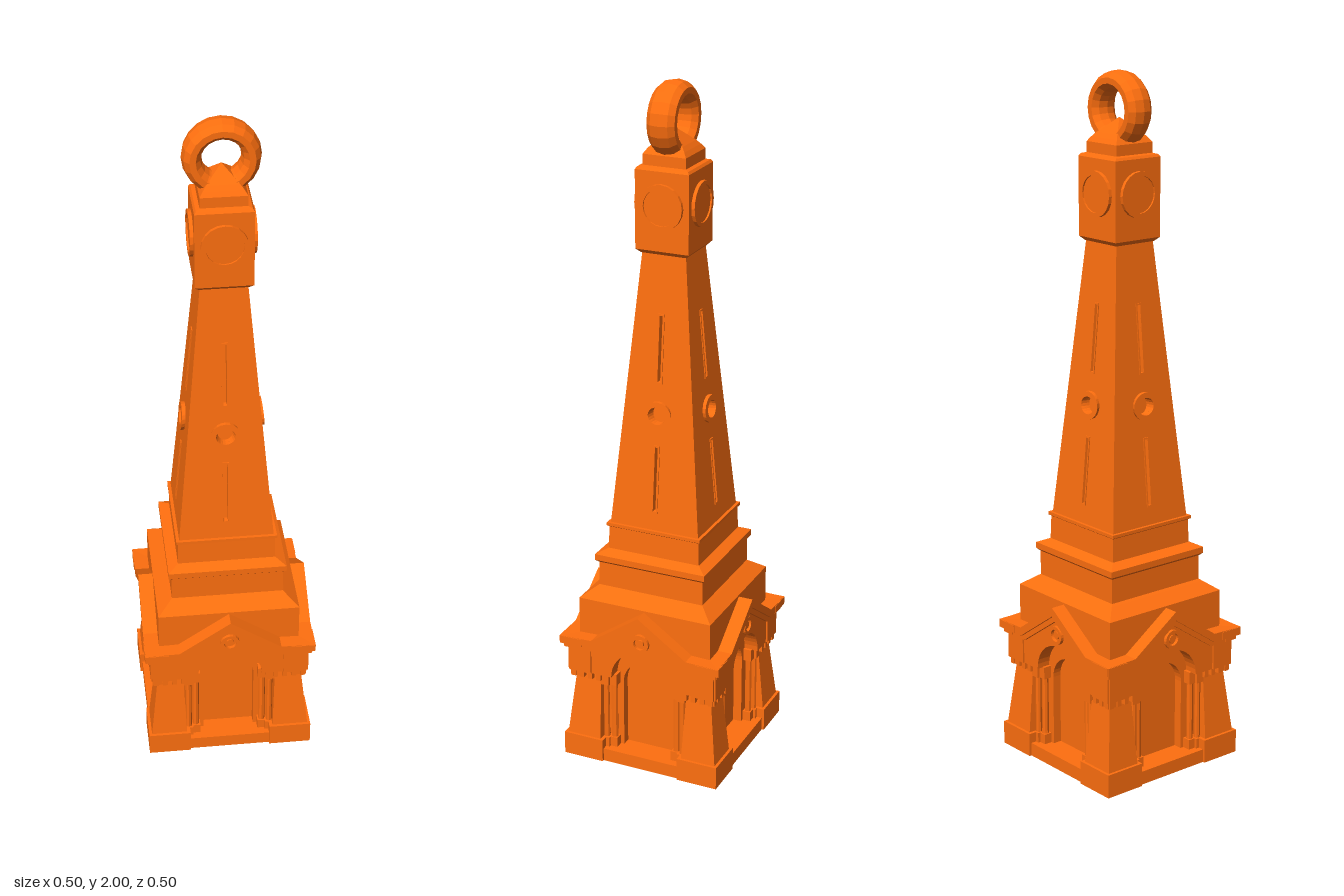
import * as THREE from 'three';

const material = new THREE.MeshStandardMaterial({ color: 0xff6f0f, flatShading: true });

function mesh(name, geometry) {
  const g = geometry.index ? geometry.toNonIndexed() : geometry;
  g.computeVertexNormals();
  const m = new THREE.Mesh(g, material);
  m.name = name;
  return m;
}

// Square tower section from [halfWidth, y] pairs, bottom to top
function squareTier(name, profile) {
  const pts = profile.map(([r, y]) => new THREE.Vector2(r * Math.SQRT2, y));
  return mesh(name, new THREE.LatheGeometry(pts, 4, Math.PI / 4));
}

function box(name, x0, x1, y0, y1, z0, z1) {
  const g = new THREE.BoxGeometry(x1 - x0, y1 - y0, z1 - z0);
  return mesh(name, g.translate((x0 + x1) / 2, (y0 + y1) / 2, (z0 + z1) / 2));
}

const polygon = (pts) => new THREE.Shape(pts.map(([x, y]) => new THREE.Vector2(x, y)));

function extrude(shape, z0, z1) {
  return new THREE.ExtrudeGeometry(shape, { depth: z1 - z0, bevelEnabled: false, curveSegments: 10 }).translate(0, 0, z0);
}

function rect(halfW, y0, y1) {
  return polygon([[-halfW, y0], [halfW, y0], [halfW, y1], [-halfW, y1]]);
}

function disc(y, r) {
  return new THREE.Shape().absarc(0, y, r, 0, Math.PI * 2, false);
}

function framed(outer, inner) {
  outer.holes.push(inner);
  return outer;
}

// Wall outline whose bottom edge is cut by a round-headed opening
function archedWall(halfW, topPoints, y0, r, springY) {
  const s = new THREE.Shape();
  s.moveTo(r, y0);
  s.lineTo(halfW, y0);
  topPoints.forEach(([x, y]) => s.lineTo(x, y));
  s.lineTo(-halfW, y0);
  s.lineTo(-r, y0);
  s.lineTo(-r, springY);
  s.absarc(0, springY, r, Math.PI, 0, true);
  s.lineTo(r, y0);
  return s;
}

// Tapering shaft: half width at a height, and a rule wrapping flat work onto it
const SHAFT0 = 0.73, SHAFT1 = 1.54;
const shaftHalf = (y) => 0.137 - (0.072 * (y - SHAFT0)) / (SHAFT1 - SHAFT0);

function onShaft(name, shape, z0, z1) {
  const g = extrude(shape, z0, z1);
  const p = g.attributes.position;
  for (let i = 0; i < p.count; i++) {
    const h = shaftHalf(p.getY(i)), z = h + p.getZ(i);
    p.setXYZ(i, (p.getX(i) * z) / h, p.getY(i), z);
  }
  return mesh(name, g);
}

// Corner pier leaning inward towards its top
function pier() {
  const g = new THREE.BoxGeometry(1, 1, 1);
  const p = g.attributes.position;
  for (let i = 0; i < p.count; i++) {
    const top = p.getY(i) > 0;
    const at = (v) => (v > 0 ? (top ? 0.213 : 0.237) : (top ? 0.138 : 0.13));
    p.setXYZ(i, at(p.getX(i)), top ? 0.285 : 0.065, at(p.getZ(i)));
  }
  return mesh('cornerPier', g);
}

function buildSide() {
  const side = new THREE.Group();
  side.name = 'side';

  // Corner pier on its plinth
  side.add(box('cornerPlinth', 0.12, 0.245, 0, 0.07, 0.12, 0.245), pier());

  // Gabled entablature with arched cut
  const gable = [[0.235, 0.38], [0.15, 0.38], [0, 0.485], [-0.15, 0.38], [-0.235, 0.38]];
  side.add(mesh('gableWall', extrude(archedWall(0.235, gable, 0.28, 0.096, 0.281), 0.16, 0.23)));
  side.add(mesh('gableCoping', extrude(polygon([
    [-0.252, 0.372], [-0.15, 0.372], [0, 0.476], [0.15, 0.372], [0.252, 0.372],
    [0.252, 0.395], [0.15, 0.398], [0, 0.502], [-0.15, 0.398], [-0.252, 0.395],
  ]), 0.18, 0.25)));
  side.add(mesh('gableMoulding', extrude(polygon([
    [-0.243, 0.358], [-0.145, 0.358], [0, 0.458], [0.145, 0.358], [0.243, 0.358],
    [0.243, 0.375], [0.15, 0.375], [0, 0.48], [-0.15, 0.375], [-0.243, 0.375],
  ]), 0.2, 0.241)));

  // Rosette in the gable
  side.add(mesh('rosetteRim', extrude(framed(disc(0.415, 0.028), disc(0.415, 0.018)), 0.225, 0.24)));
  side.add(mesh('rosetteBoss', extrude(disc(0.415, 0.011), 0.225, 0.236)));

  // Portal: stepped arch, door panel, sill and flanking columns
  const flat = [[0.13, 0.38], [-0.13, 0.38]];
  side.add(mesh('innerArch', extrude(archedWall(0.13, flat, 0.03, 0.076, 0.25), 0.15, 0.188)));
  side.add(box('sill', -0.121, 0.121, 0, 0.04, 0.1, 0.238));

  for (const s of [-1, 1]) {
    [[0.1, 0.01, 0.2], [0.122, 0.009, 0.208]].forEach(([x, r, z]) => {
      const g = new THREE.CylinderGeometry(r, r, 0.19, 8).translate(s * x, 0.155, z);
      side.add(mesh('column', g));
      side.add(box('columnBase', s * x - 0.013, s * x + 0.013, 0.035, 0.07, z - 0.013, z + 0.013));
      side.add(box('columnCapital', s * x - 0.013, s * x + 0.013, 0.245, 0.282, z - 0.013, z + 0.013));
    });
    // Small brackets hanging below the entablature
    for (let i = 0; i < 4; i++) {
      const x = s * (0.138 + i * 0.027);
      side.add(box('bracket', x - 0.007, x + 0.007, 0.26, 0.285, 0.2, 0.23));
    }
  }

  // Shaft face with recessed slits and a round window
  const slits = [[0.79, 0.98], [1.17, 1.36]];
  const face = polygon([
    [-shaftHalf(SHAFT0), SHAFT0], [shaftHalf(SHAFT0), SHAFT0],
    [shaftHalf(SHAFT1), SHAFT1], [-shaftHalf(SHAFT1), SHAFT1],
  ]);
  face.holes.push(disc(1.075, 0.025), ...slits.map(([a, b]) => rect(0.005, a, b)));
  side.add(onShaft('shaftFace', face, -0.015, 0));
  for (const [a, b] of slits) {
    side.add(onShaft('slitFrame', framed(rect(0.009, a - 0.005, b + 0.005), rect(0.005, a, b)), -0.005, 0.003));
  }
  side.add(onShaft('windowRim', framed(disc(1.075, 0.04), disc(1.075, 0.025)), -0.01, 0.011));

  // Round medallion on the head block
  side.add(mesh('medallionRim', extrude(framed(disc(1.668, 0.064), disc(1.668, 0.052)), 0.07, 0.09)));
  side.add(mesh('medallion', extrude(disc(1.668, 0.053), 0.07, 0.085)));
  return side;
}

export function createModel() {
  const model = new THREE.Group();
  model.name = 'tower';

  // Solid core of the base storey
  model.add(squareTier('baseCore', [[0, 0], [0.235, 0], [0.235, 0.035], [0.162, 0.035], [0.162, 0.39]]));

  // Stepped tiers carrying the shaft
  model.add(squareTier('steppedTiers', [
    [0.207, 0.37], [0.207, 0.507], [0.17, 0.535], [0.163, 0.54], [0.163, 0.612],
    [0.172, 0.62], [0.172, 0.638], [0.142, 0.652], [0.14, 0.72], [0.146, 0.724],
    [0.146, 0.733], [0, 0.733],
  ]));

  // Inner core seen through the shaft openings
  model.add(squareTier('shaftCore', [[shaftHalf(SHAFT0) - 0.014, SHAFT0], [shaftHalf(SHAFT1) - 0.014, SHAFT1]]));

  // Head block with stepped cap and small pyramid
  model.add(squareTier('head', [
    [0, 1.53], [0.068, 1.53], [0.08, 1.542], [0.08, 1.765], [0.075, 1.772], [0.064, 1.775],
    [0.064, 1.805], [0.055, 1.818], [0.045, 1.83], [0, 1.872],
  ]));

  // Hanging ring on top
  const ring = new THREE.TorusGeometry(0.079, 0.027, 10, 20).scale(1, 1, 1.6).translate(0, 1.894, 0);
  model.add(mesh('topRing', ring));

  // Four identical sides
  for (let i = 0; i < 4; i++) {
    const side = buildSide();
    side.rotation.y = (i * Math.PI) / 2;
    model.add(side);
  }
  return model;
}
